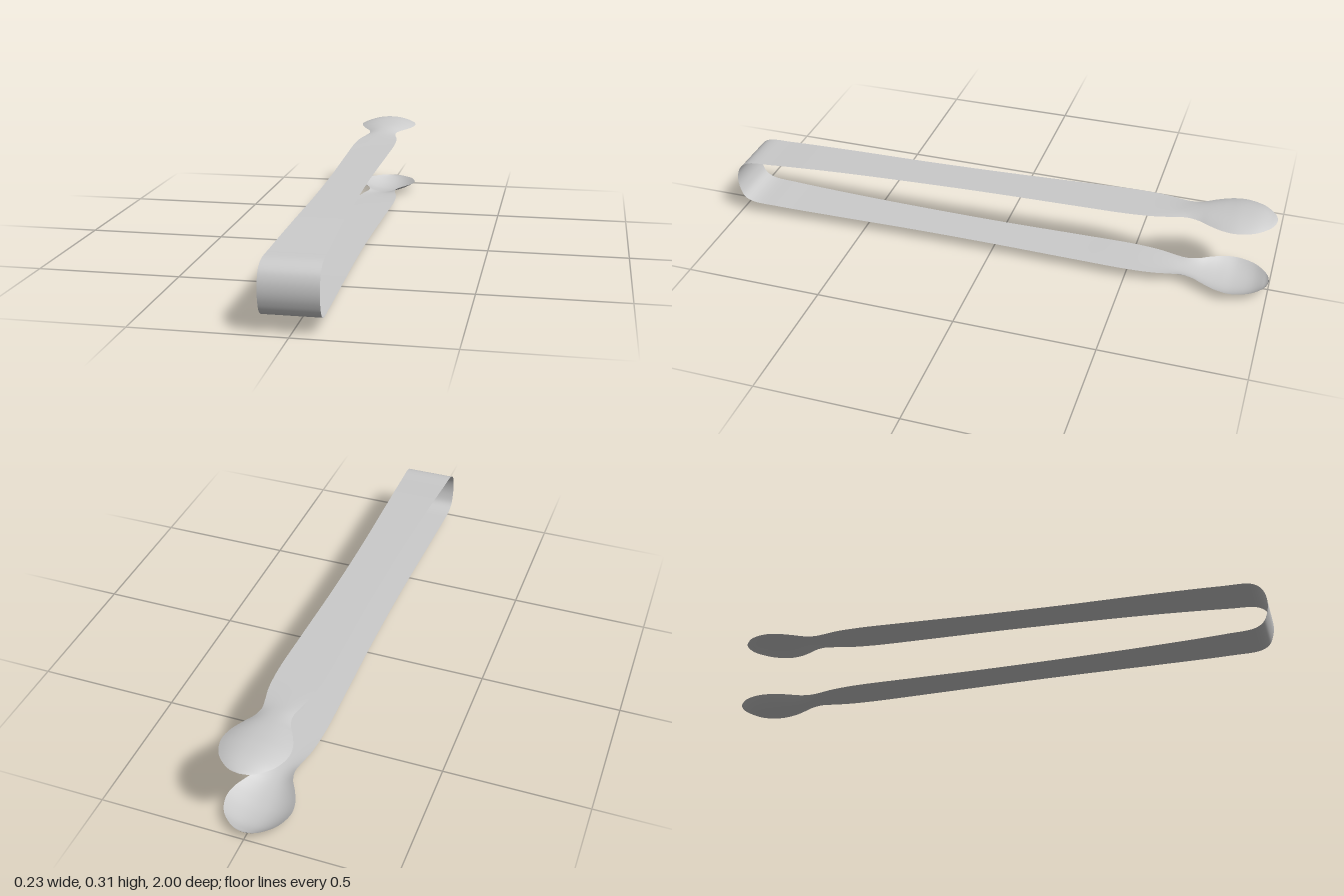
import * as THREE from 'three';

// Stations along the strip: [z, half width, edge height, centre height]
const lowerArm = [
  [-1, 0, 0.037, 0.037], [-0.995, 0.028, 0.037, 0.032], [-0.98, 0.055, 0.037, 0.024],
  [-0.94, 0.093, 0.038, 0.009], [-0.88, 0.113, 0.038, 0.003], [-0.83, 0.107, 0.039, 0.007],
  [-0.78, 0.085, 0.04, 0.014], [-0.74, 0.063, 0.04, 0.021], [-0.7, 0.054, 0.04, 0.028],
  [-0.66, 0.06, 0.04, 0.034], [-0.6, 0.073, 0.041, 0.039], [-0.5, 0.081, 0.042, 0.042],
  [-0.3, 0.079, 0.042, 0.042], [0, 0.074, 0.042, 0.042], [0.3, 0.075, 0.043, 0.043],
  [0.6, 0.082, 0.044, 0.044], [0.85, 0.09, 0.048, 0.048],
];
const bend = [
  [0.95, 0.093, 0.054, 0.054], [0.98, 0.094, 0.072, 0.072], [0.995, 0.094, 0.105, 0.105],
  [1, 0.094, 0.14, 0.14], [0.995, 0.094, 0.175, 0.175], [0.98, 0.094, 0.203, 0.203],
  [0.95, 0.093, 0.222, 0.222],
];
// The upper arm shares the outline but splays upward, with a shallower bowl
const upperArm = lowerArm.map(([z, w, edge, centre]) => {
  const y = z > 0.8 ? 0.23 : z < -0.65 ? 0.281 + (-0.65 - z) * 0.035 : 0.261 - z * 0.031;
  return [z, w, y, y + (edge - centre) * 0.65];
}).reverse();

function createStrip() {
  const stations = [...lowerArm, ...bend, ...upperArm];
  const edge = new THREE.CatmullRomCurve3(stations.map(([z, w, y]) => new THREE.Vector3(w, y, z)));
  const spine = new THREE.CatmullRomCurve3(stations.map(([z, , , y]) => new THREE.Vector3(0, y, z)));
  const rows = (stations.length - 1) * 6, cols = 20;
  const position = [], index = [];
  for (let i = 0; i <= rows; i++) {
    const e = edge.getPoint(i / rows), s = spine.getPoint(i / rows);
    for (let j = 0; j <= cols; j++) {
      const u = (j / cols) * 2 - 1;
      position.push(u * e.x, THREE.MathUtils.lerp(s.y, e.y, Math.abs(u) ** 2.2), e.z);
      if (i < rows && j < cols) {
        const a = i * (cols + 1) + j, b = a + cols + 1;
        index.push(a, a + 1, b, a + 1, b + 1, b);
      }
    }
  }
  const geometry = new THREE.BufferGeometry();
  geometry.setAttribute('position', new THREE.Float32BufferAttribute(position, 3));
  geometry.setIndex(index);
  geometry.computeVertexNormals();
  return geometry;
}

export function createModel() {
  const group = new THREE.Group();
  group.name = 'tongs';
  // One thin bent strip: lower bowl and arm, spring bend, upper arm and bowl
  const material = new THREE.MeshStandardMaterial({ color: 0xcccccc, side: THREE.DoubleSide });
  const strip = new THREE.Mesh(createStrip(), material);
  strip.name = 'bentStripWithBowls';
  group.add(strip);
  return group;
}
